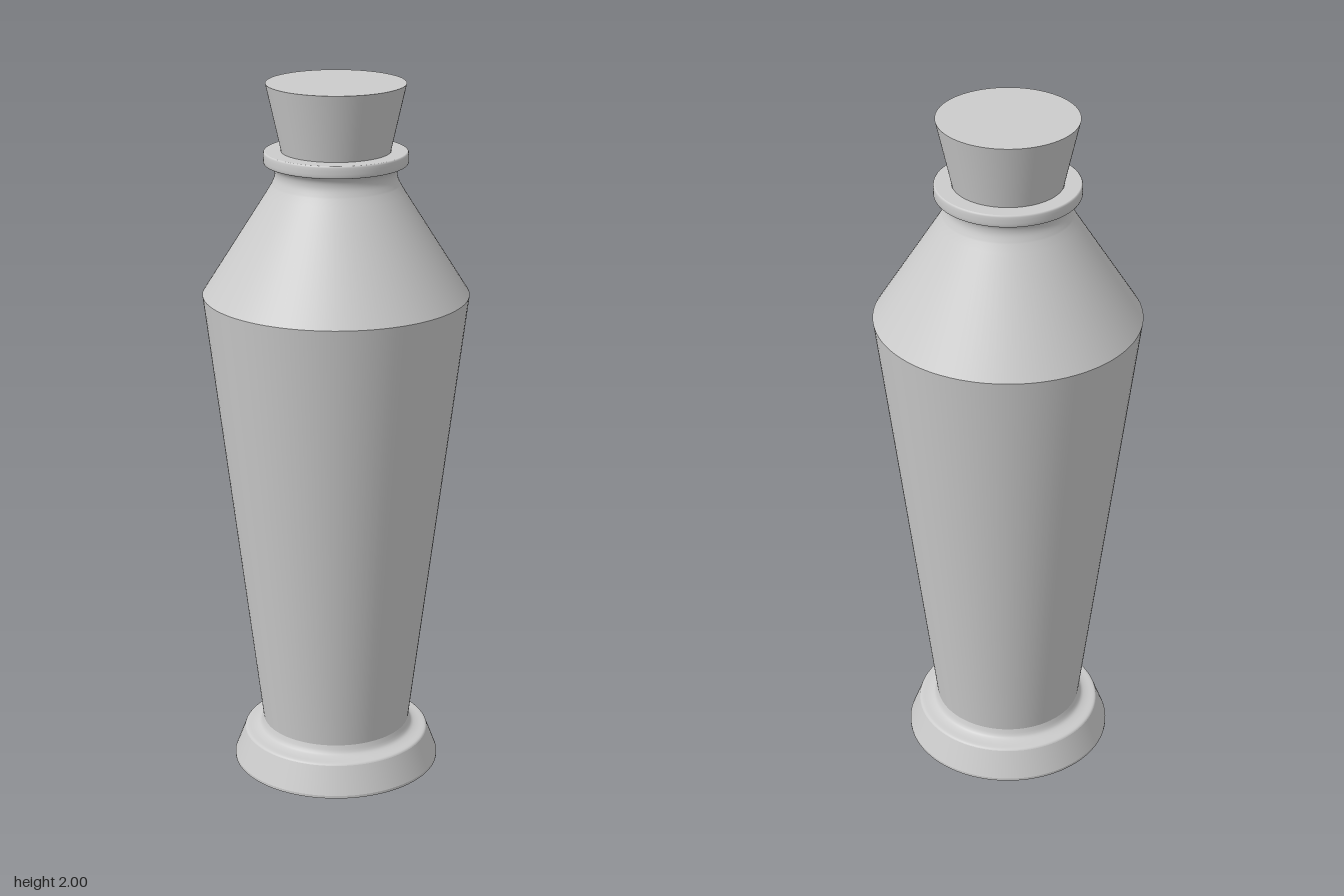
import * as THREE from 'three';
import { mergeGeometries } from 'three/addons/utils/BufferGeometryUtils.js';

const SEGMENTS = 96;
const v = (x, y) => new THREE.Vector2(x, y);

// Smooth curve through a few profile points
const curve = (points, n = 10) =>
  new THREE.SplineCurve(points.map(([x, y]) => v(x, y))).getPoints(n);

// Straight profile run
const line = (...points) => points.map(([x, y]) => v(x, y));

// Each run is smooth in itself; the edges between runs stay sharp
function turned(name, runs, material) {
  const geometry = mergeGeometries(runs.map((run) => new THREE.LatheGeometry(run, SEGMENTS)));
  const mesh = new THREE.Mesh(geometry, material);
  mesh.name = name;
  return mesh;
}

export function createModel() {
  const group = new THREE.Group();
  group.name = 'stopperedBottle';
  const material = new THREE.MeshStandardMaterial({ color: 0xcccccc });

  // Flared foot with a shallow recess underneath and a fillet up to the body
  group.add(turned('foot', [
    line([0, 0.02], [0.26, 0.02]),
    curve([[0.26, 0.02], [0.275, 0.013], [0.285, 0]], 6),
    line([0.285, 0], [0.298, 0]),
    line([0.298, 0], [0.298, 0.008]),
    line([0.298, 0.008], [0.268, 0.088]),
    curve([[0.268, 0.088], [0.262, 0.093], [0.24, 0.096], [0.222, 0.104], [0.213, 0.125]], 14),
  ], material));

  // Tapered body
  group.add(turned('body', [line([0.213, 0.125], [0.37, 1.415])], material));

  // Sloping shoulder curving into the neck
  group.add(turned('shoulder', [[
    ...line([0.37, 1.415], [0.19, 1.7]),
    ...curve([[0.177, 1.722], [0.168, 1.745], [0.169, 1.765], [0.18, 1.78]], 12),
  ]], material));

  // Flat lip ring and the mouth of the bottle
  group.add(turned('lip', [
    line([0.18, 1.78], [0.193, 1.78]),
    curve([[0.193, 1.78], [0.198, 1.785], [0.198, 1.81], [0.194, 1.815]], 9),
    line([0.194, 1.815], [0.15, 1.815]),
    line([0.15, 1.815], [0.13, 1.72]),
  ], material));

  // Tapered stopper set into the mouth
  const stopper = new THREE.Mesh(new THREE.CylinderGeometry(0.191, 0.128, 0.28, SEGMENTS), material);
  stopper.name = 'stopper';
  stopper.position.y = 1.86;
  group.add(stopper);

  return group;
}
